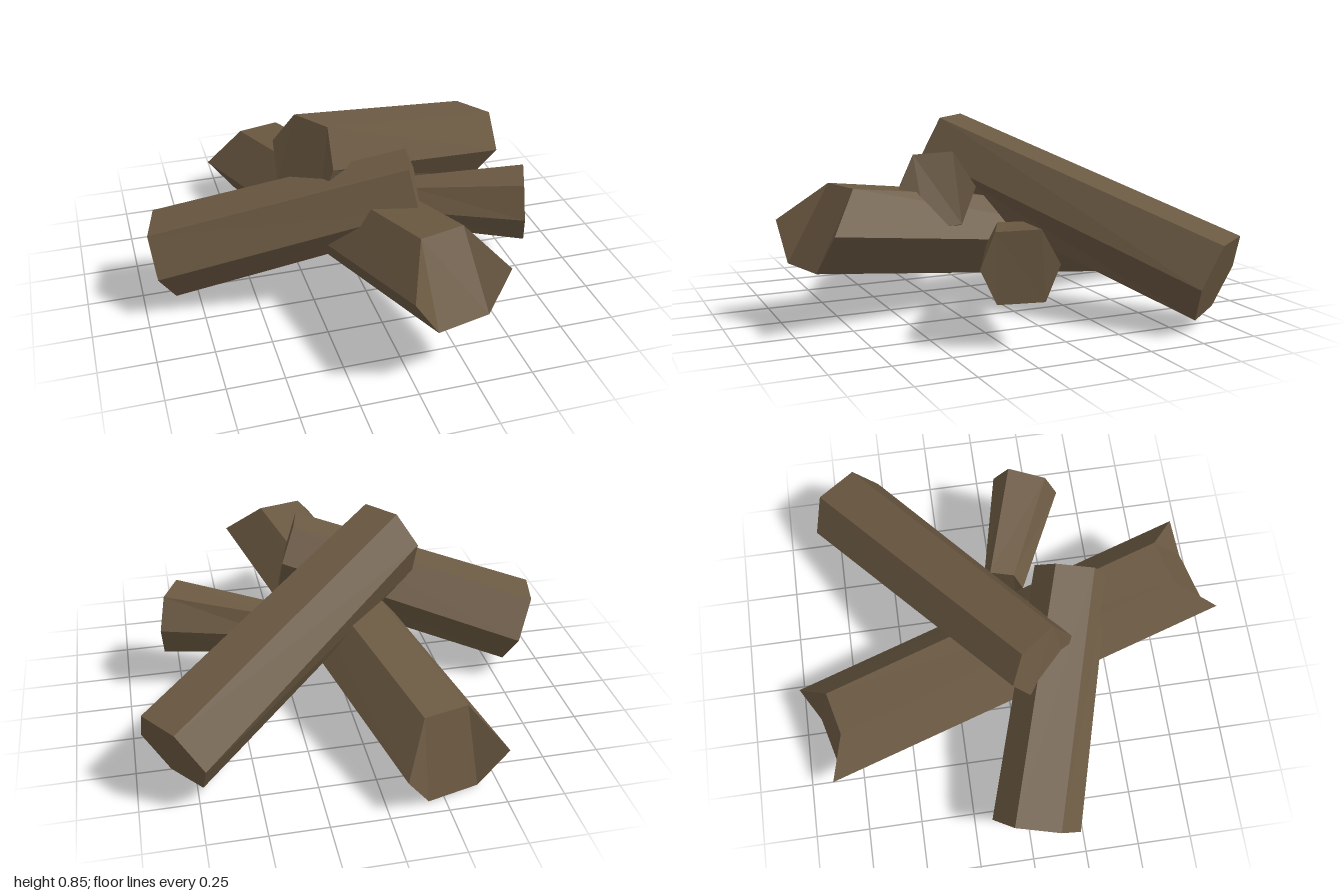
import * as THREE from 'three';

// Six-sided log between two end rings.
// Each ring runs: top left, top right, right, bottom right, bottom left, left (seen from the head end).
function logGeometry(head, tail) {
  const pos = [];
  const tri = (a, b, c) => pos.push(...a, ...b, ...c);
  for (let i = 0; i < 6; i++) {
    const j = (i + 1) % 6;
    tri(head[i], head[j], tail[j]);
    tri(head[i], tail[j], tail[i]);
  }
  // Cut ends: a middle quad with a triangle on either side
  for (const [a, b, c] of [[0, 5, 4], [0, 4, 3], [0, 3, 1], [1, 3, 2]]) {
    tri(head[a], head[b], head[c]);
    tri(tail[a], tail[c], tail[b]);
  }
  const g = new THREE.BufferGeometry();
  g.setAttribute('position', new THREE.Float32BufferAttribute(pos, 3));
  g.computeVertexNormals();
  return g;
}

export function createModel() {
  const bark = new THREE.MeshStandardMaterial({ color: 0x6b5942, flatShading: true });
  bark.name = 'brown bark';

  const logs = {
    // Longest log, lying front to back with skewed ends
    bottomLog: [
      [[0.06, 0.61, 0.79], [0.26, 0.61, 0.74], [0.43, 0.45, 0.87], [0.32, 0.28, 0.92], [0.08, 0.28, 0.98], [-0.03, 0.45, 1.0]],
      [[-0.37, 0.37, -0.8], [-0.17, 0.37, -0.85], [-0.07, 0.17, -1.0], [-0.18, 0, -0.93], [-0.41, 0, -0.87], [-0.54, 0.17, -0.88]],
    ],
    // Log resting on top, sloping down to the back left
    topLog: [
      [[0.95, 0.385, -0.62], [0.83, 0.39, -0.79], [0.72, 0.23, -0.84], [0.73, 0.065, -0.73], [0.85, 0.05, -0.56], [0.96, 0.21, -0.51]],
      [[-0.16, 0.845, 0.19], [-0.27, 0.85, 0.04], [-0.36, 0.71, -0.01], [-0.36, 0.54, 0.07], [-0.21, 0.52, 0.25], [-0.16, 0.68, 0.28]],
    ],
    // Log leaning in from the right
    sideLog: [
      [[0.13, 0.72, 0.43], [0.17, 0.73, 0.26], [0.24, 0.58, 0.18], [0.25, 0.42, 0.25], [0.23, 0.41, 0.41], [0.15, 0.56, 0.51]],
      [[-0.96, 0.39, 0.12], [-0.91, 0.4, -0.08], [-0.83, 0.23, -0.17], [-0.8, 0.07, -0.06], [-0.86, 0.06, 0.13], [-0.94, 0.22, 0.22]],
    ],
    // Short tapered branch stub on the left
    branchStub: [
      [[0.73, 0.48, 0.31], [0.8, 0.49, 0.14], [0.83, 0.35, 0.07], [0.82, 0.2, 0.13], [0.75, 0.19, 0.31], [0.72, 0.33, 0.37]],
      [[0.27, 0.42, 0.09], [0.3, 0.42, -0.02], [0.31, 0.33, -0.05], [0.31, 0.22, -0.01], [0.26, 0.22, 0.1], [0.24, 0.32, 0.13]],
    ],
  };

  const model = new THREE.Group();
  model.name = 'logPile';
  for (const [name, [head, tail]] of Object.entries(logs)) {
    const mesh = new THREE.Mesh(logGeometry(head, tail), bark);
    mesh.name = name;
    model.add(mesh);
  }
  return model;
}
